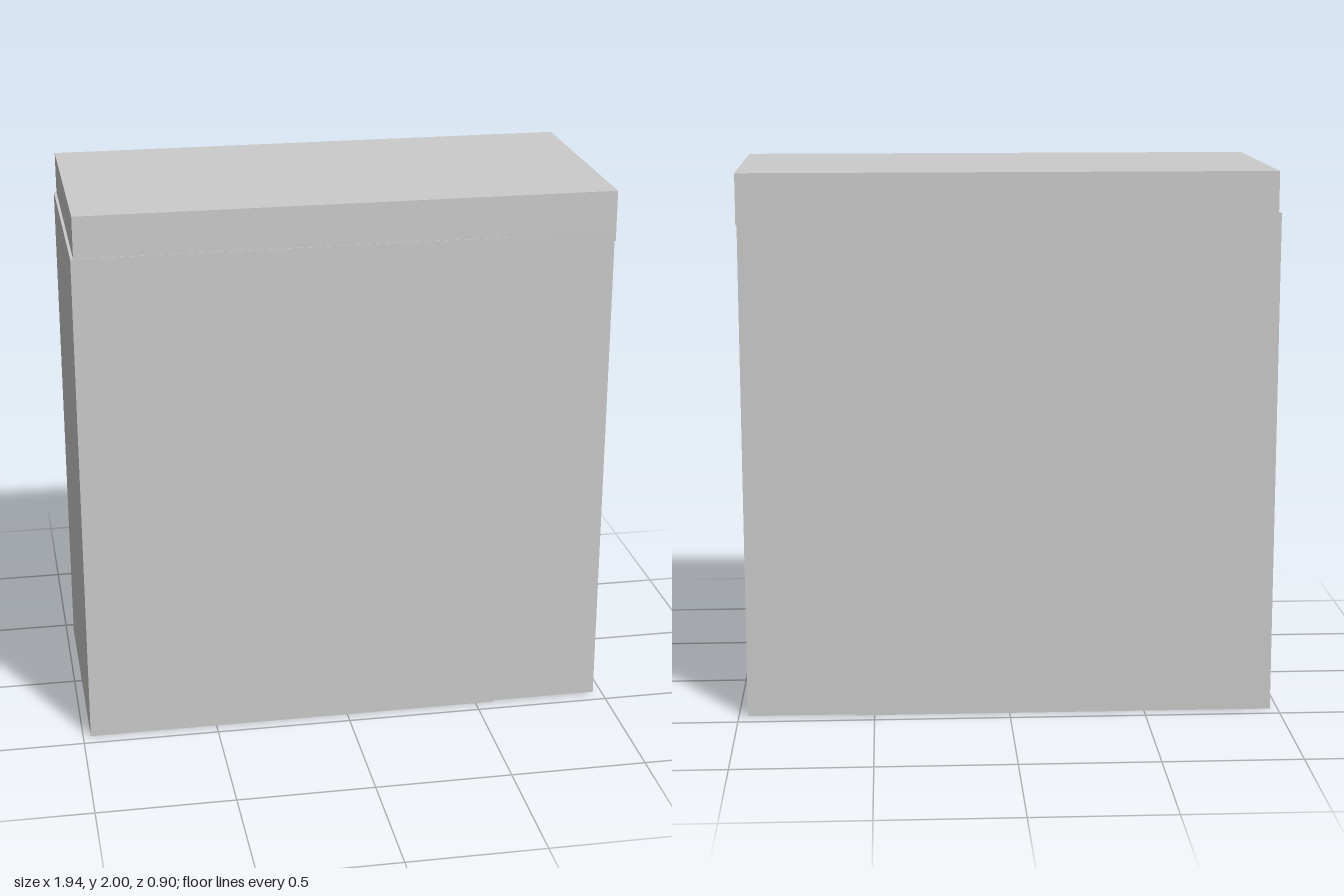
import * as THREE from 'three';

const material = new THREE.MeshStandardMaterial({ color: 0xcccccc, flatShading: true });

// Box given by its limits on each axis
function block(name, [x0, x1], [y0, y1], [z0, z1]) {
  const mesh = new THREE.Mesh(new THREE.BoxGeometry(x1 - x0, y1 - y0, z1 - z0), material);
  mesh.name = name;
  mesh.position.set((x0 + x1) / 2, (y0 + y1) / 2, (z0 + z1) / 2);
  return mesh;
}

export function createModel() {
  const model = new THREE.Group();
  model.name = 'apartmentBlock';

  const wall = 0.57; // where the balconies meet the solid body

  // Solid building and roof
  model.add(block('body', [-0.972, wall], [0, 1.85], [-0.447, 0.45]));
  model.add(block('roof', [-0.962, 0.97], [1.85, 2], [-0.447, 0.447]));
  model.add(block('roofEdge', [wall, 0.97], [1.815, 1.85], [-0.447, 0.447]));

  // Side walls enclosing the balconies
  model.add(block('frontSideWall', [wall, 0.966], [0.004, 1.815], [0.418, 0.446]));
  model.add(block('backSideWall', [wall, 0.966], [0.004, 1.815], [-0.446, -0.418]));

  // Three storeys of balconies
  for (let i = 0; i < 3; i++) {
    const floor = i * 0.6;
    const storey = new THREE.Group();
    storey.name = 'balconyStorey';
    const bottom = floor + 0.008;
    const ceiling = floor + 0.55;

    storey.add(block('parapet', [0.925, 0.95], [bottom, floor + 0.2], [-0.418, 0.418]));
    storey.add(block('ceilingSlab', [wall, 0.946], [ceiling, floor + 0.6], [-0.418, 0.418]));
    for (const z of [0.263, 0.069, -0.118]) {
      storey.add(block('partition', [wall, 0.948], [bottom, ceiling], [z - 0.023, z + 0.023]));
    }
    model.add(storey);
  }

  // Ground slab, and the band closing the top storey under the roof
  model.add(block('groundSlab', [wall, 0.946], [0.004, 0.012], [-0.418, 0.418]));
  model.add(block('topBand', [wall, 0.946], [1.8, 1.815], [-0.418, 0.418]));

  return model;
}
